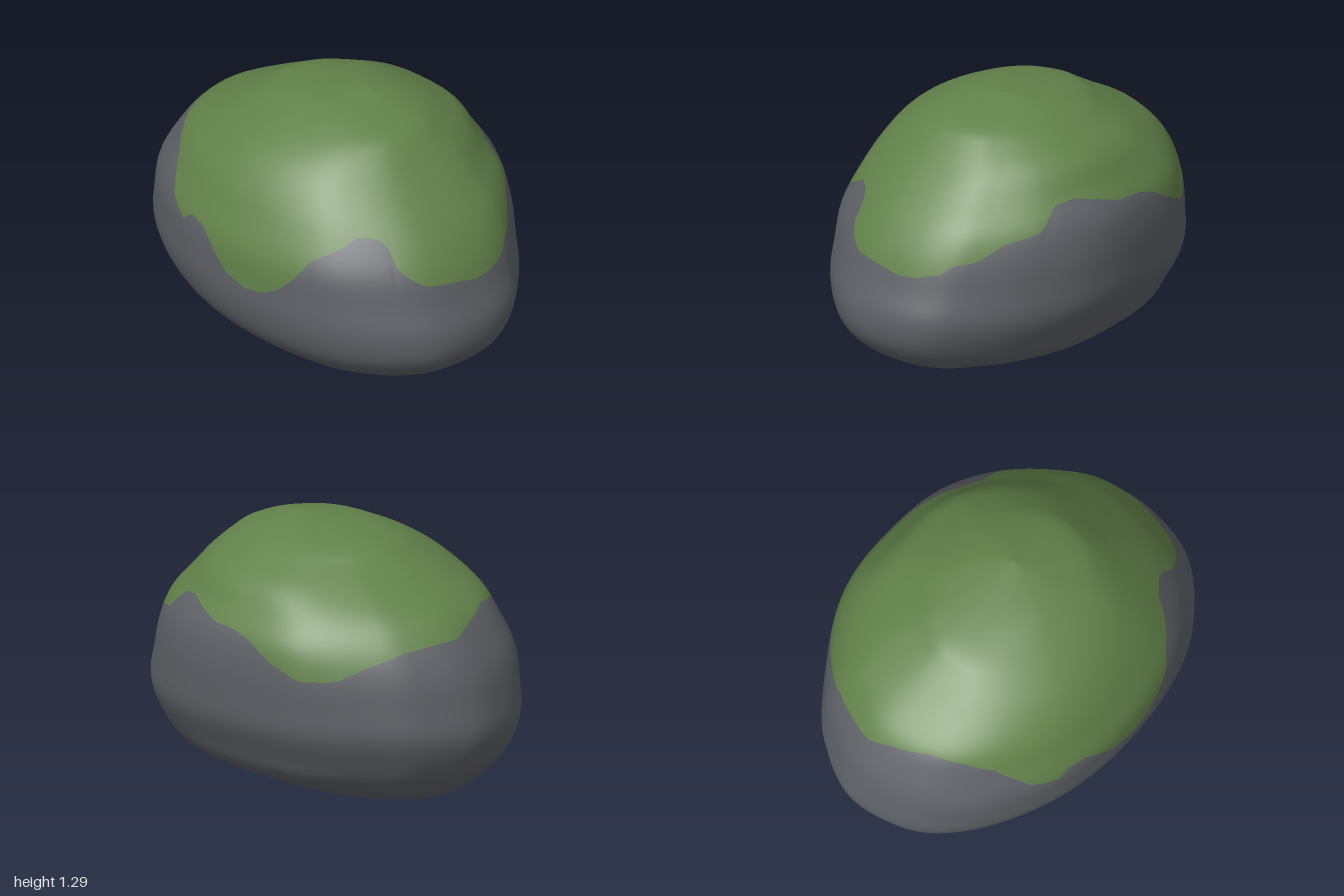
import * as THREE from 'three';

// Horizontal cross-sections, bottom to top: [y, left x, right x, back z, front z]
const SECTIONS = [
  [0.00, -0.05, -0.05, 0.00, 0.00],
  [0.02, -0.55, 0.42, -0.24, 0.30],
  [0.07, -0.74, 0.70, -0.40, 0.45],
  [0.16, -0.86, 0.88, -0.57, 0.58],
  [0.27, -0.95, 0.98, -0.64, 0.67],
  [0.41, -1.00, 1.00, -0.71, 0.72],
  [0.55, -0.98, 0.955, -0.725, 0.73],
  [0.70, -0.945, 0.905, -0.73, 0.725],
  [0.84, -0.87, 0.82, -0.71, 0.67],
  [0.96, -0.77, 0.71, -0.64, 0.61],
  [1.07, -0.585, 0.60, -0.57, 0.52],
  [1.15, -0.45, 0.52, -0.455, 0.41],
  [1.21, -0.34, 0.44, -0.35, 0.29],
  [1.26, -0.10, 0.27, -0.23, 0.15],
  [1.29, 0.14, 0.14, -0.09, -0.09],
];

// Plan outline of the boulder [x, z], walking from right to front to left to back
const PLAN = [
  [1, -0.12], [0.98, 0.18], [0.81, 0.43], [0.61, 0.58], [0.24, 0.70], [-0.19, 0.72], [-0.6, 0.6],
  [-0.85, 0.42], [-0.97, 0.2], [-1, 0.02], [-0.94, -0.18], [-0.84, -0.34], [-0.47, -0.64],
  [-0.08, -0.73], [0.28, -0.73], [0.59, -0.62], [0.84, -0.43], [0.94, -0.31],
];

// Lower edge of the moss as [angle in degrees, height]; 0 is right, 90 is front
const MOSS_EDGE = [
  [-8, 0.62], [0, 0.64], [14, 0.66], [20, 0.71], [24, 0.76], [25.5, 0.84], [29, 0.87], [36, 0.875],
  [41, 0.84], [47, 0.80], [53, 0.76], [59, 0.66], [65, 0.58], [71, 0.53], [78, 0.515], [85, 0.55],
  [91, 0.66], [95, 0.72], [102, 0.73], [105, 0.68], [114, 0.73], [118, 0.79], [126, 0.88],
  [137, 0.93], [151, 0.95], [168, 0.90], [176, 0.86], [188, 0.85], [200, 0.83], [215, 0.77],
  [228, 0.70], [240, 0.69], [250, 0.76], [258, 0.84], [265, 0.87], [275, 0.88], [285, 0.92],
  [293, 0.945], [301, 0.93], [306, 0.83], [318, 0.79], [325, 0.72], [333, 0.70], [336, 0.66],
  [344, 0.63], [352, 0.62],
];

const COLUMNS = 240, ROCK_ROWS = 26, MOSS_ROWS = 24;

// Smooth interpolation through the cross-sections at fractional index s
function sectionAt(s) {
  const last = SECTIONS.length - 1;
  const i = Math.min(Math.floor(s), last - 1), f = s - i;
  const row = k => SECTIONS[THREE.MathUtils.clamp(k, 0, last)];
  return row(i).map((b, c) => {
    const a = row(i - 1)[c], d = row(i + 1)[c], e = row(i + 2)[c];
    return b + 0.5 * f * (d - a + f * (2 * a - 5 * b + 4 * d - e + f * (3 * (b - d) + e - a)));
  });
}

// Linear lookup of a sorted table of pairs
function lookup(pairs, x) {
  let i = 0;
  while (i < pairs.length - 2 && pairs[i + 1][0] < x) i++;
  const [x0, y0] = pairs[i], [x1, y1] = pairs[i + 1];
  return THREE.MathUtils.lerp(y0, y1, (x - x0) / (x1 - x0));
}

export function createModel() {
  const stone = new THREE.MeshStandardMaterial({ color: 0x5e6166 });
  stone.name = 'stone grey';
  const green = new THREE.MeshStandardMaterial({ color: 0x62824a });
  green.name = 'moss green';

  const outline = new THREE.CatmullRomCurve3(
    PLAN.map(([x, z]) => new THREE.Vector3(x, 0, z / 0.73)), true, 'centripetal');
  const heightToIndex = SECTIONS.map((r, i) => [r[0], i]);
  const top = SECTIONS.length - 1, rows = ROCK_ROWS + MOSS_ROWS;

  // One grid of vertices; row ROCK_ROWS follows the moss edge
  const positions = new Float32Array((rows + 1) * COLUMNS * 3);
  for (let j = 0; j < COLUMNS; j++) {
    const p = outline.getPoint(j / COLUMNS);
    let angle = THREE.MathUtils.radToDeg(Math.atan2(p.z, p.x));
    if (angle < -8) angle += 360;
    const edge = lookup(heightToIndex, lookup(MOSS_EDGE, angle));
    for (let i = 0; i <= rows; i++) {
      const s = i <= ROCK_ROWS ? edge * i / ROCK_ROWS
        : THREE.MathUtils.lerp(edge, top, (i - ROCK_ROWS) / MOSS_ROWS);
      const [y, xl, xr, zb, zf] = sectionAt(s);
      positions.set([
        (xl + xr) / 2 + p.x * (xr - xl) / 2,
        Math.max(0, y),
        (zb + zf) / 2 + p.z * (zf - zb) / 2,
      ], (i * COLUMNS + j) * 3);
    }
  }

  const strip = (from, to) => {
    const index = [];
    for (let i = from; i < to; i++) {
      for (let j = 0; j < COLUMNS; j++) {
        const a = i * COLUMNS + j, b = i * COLUMNS + (j + 1) % COLUMNS;
        index.push(a, a + COLUMNS, b, b, a + COLUMNS, b + COLUMNS);
      }
    }
    return index;
  };

  // Normals come from the whole surface so the shading runs on across the moss edge
  const whole = new THREE.BufferGeometry();
  whole.setAttribute('position', new THREE.BufferAttribute(positions, 3));
  whole.setIndex(strip(0, rows));
  whole.computeVertexNormals();

  const group = new THREE.Group();
  group.name = 'mossyBoulder';
  const addPart = (name, material, from, to) => {
    const geometry = whole.clone();
    geometry.setIndex(strip(from, to));
    const mesh = new THREE.Mesh(geometry, material);
    mesh.name = name;
    group.add(mesh);
  };
  addPart('rock', stone, 0, ROCK_ROWS);
  addPart('mossCap', green, ROCK_ROWS, rows);
  return group;
}
